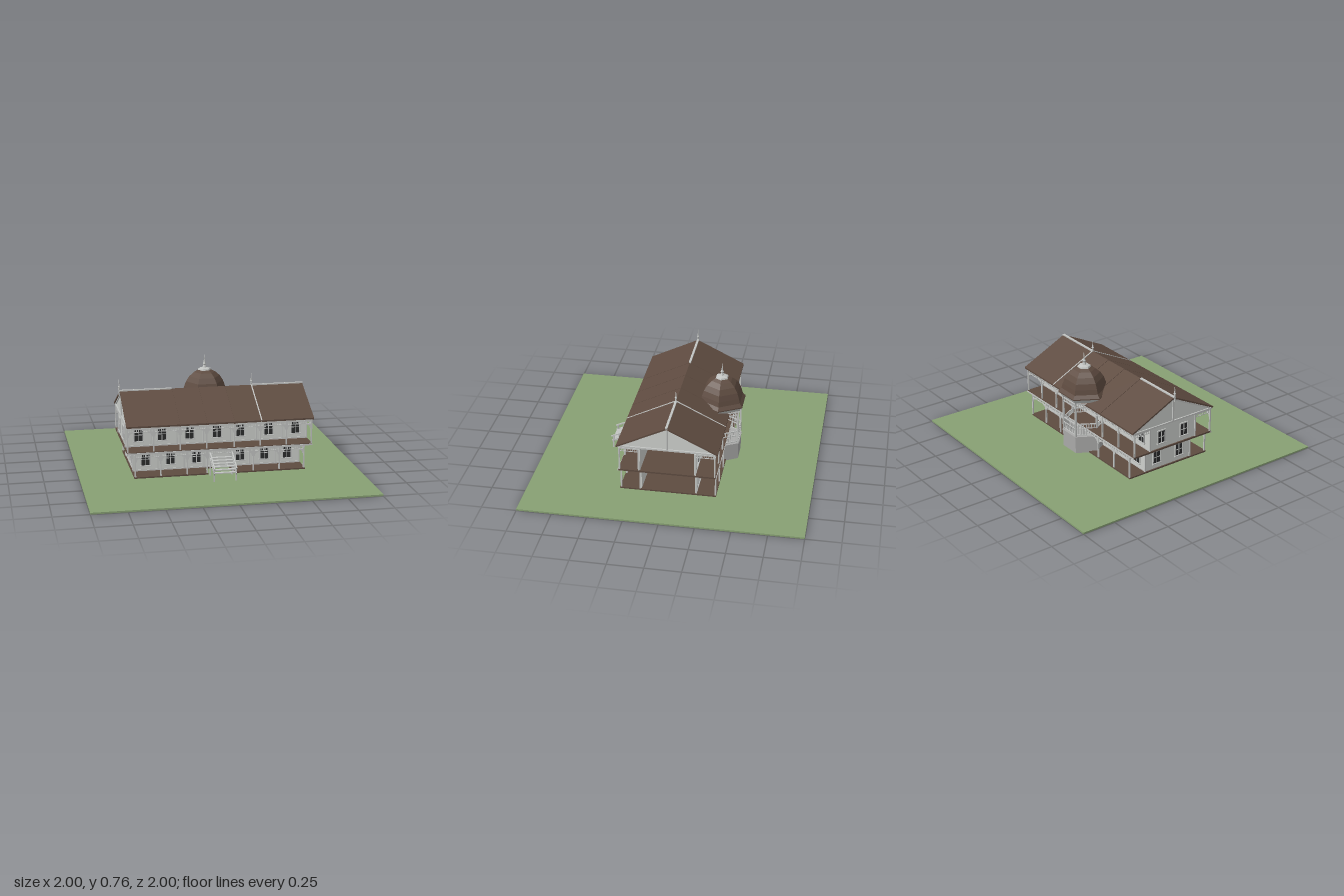
import * as THREE from 'three';
import { mergeGeometries } from 'three/addons/utils/BufferGeometryUtils.js';

const mat = (name, color) => {
  const m = new THREE.MeshStandardMaterial({ color });
  m.name = name;
  return m;
};

// box from min/max limits
function box(x0, x1, y0, y1, z0, z1) {
  return new THREE.BoxGeometry(x1 - x0, y1 - y0, z1 - z0)
    .translate((x0 + x1) / 2, (y0 + y1) / 2, (z0 + z1) / 2).toNonIndexed();
}

// square bar between two points
function bar(a, b, w, h = w) {
  const p = new THREE.Vector3(...a), q = new THREE.Vector3(...b);
  const g = new THREE.BoxGeometry(w, h, p.distanceTo(q));
  const o = new THREE.Object3D();
  o.position.copy(p).add(q).multiplyScalar(0.5);
  o.lookAt(q);
  o.updateMatrix();
  return g.applyMatrix4(o.matrix).toNonIndexed();
}

// six-sided faceted lathe with corners on the x axis
function hex(profile) {
  const pts = profile.map(([r, y]) => new THREE.Vector2(r, y));
  const g = new THREE.LatheGeometry(pts, 6, Math.PI / 6).toNonIndexed();
  g.computeVertexNormals();
  return g;
}

// prism with a (z, y) outline, between x0 and x1
function prism(points, x0, x1) {
  const s = new THREE.Shape(points.map(([z, y]) => new THREE.Vector2(-z, y)));
  return new THREE.ExtrudeGeometry(s, { depth: x1 - x0, bevelEnabled: false })
    .rotateY(Math.PI / 2).translate(x0, 0, 0);
}

// curved corner bracket under a beam, reaching along x by dir
function bracket(x, y, z, dir) {
  const r = 0.034, t = 0.007;
  const s = new THREE.Shape();
  s.moveTo(0, 0);
  s.lineTo(0, -r);
  s.lineTo(t, -r);
  s.quadraticCurveTo(t, -t, r, -t);
  s.lineTo(r, 0);
  const g = new THREE.ExtrudeGeometry(s, { depth: 0.006, bevelEnabled: false, curveSegments: 4 });
  if (dir < 0) g.rotateY(Math.PI);
  return g.translate(x, y, z - 0.003 * dir);
}

export function createModel() {
  const house = new THREE.Group();
  house.name = 'verandaHouse';
  const grass = mat('grass', 0x87a073);
  const wall = mat('wall', 0xcdd0cc);
  const trim = mat('trim', 0xc2c4c2);
  const roof = mat('roofBrown', 0x5e4b40);
  const glass = mat('darkGlass', 0x2b2c2d);
  const stone = mat('turretBase', 0xa9a9a8);

  const add = (name, material, geos) => {
    const m = new THREE.Mesh(mergeGeometries(geos), material);
    m.name = name;
    house.add(m);
    return m;
  };

  add('lawn', grass, [box(-1, 1, 0, 0.012, -1, 1)]);

  // floors, with a gap for the front steps
  add('lowerFloor', roof, [
    box(-0.62, 0.62, 0.014, 0.024, -0.34, 0.2),
    box(-0.62, -0.09, 0.014, 0.024, 0.2, 0.345), box(0.09, 0.62, 0.014, 0.024, 0.2, 0.345)]);
  add('upperFloor', roof, [box(-0.67, 0.67, 0.194, 0.206, -0.345, 0.345)]);
  add('ceiling', wall, [box(-0.66, 0.66, 0.378, 0.384, -0.34, 0.34)]);

  const storeys = [
    { name: 'lower', y0: 0.024, y1: 0.194, xe: 0.61, win: [-0.52, -0.34, -0.15, 0.17, 0.35, 0.52],
      posts: [-0.612, -0.43, -0.24, -0.095, 0.095, 0.24, 0.43, 0.612] },
    { name: 'upper', y0: 0.206, y1: 0.378, xe: 0.66, win: [-0.57, -0.4, -0.2, 0, 0.17, 0.38, 0.58],
      posts: [-0.665, -0.48, -0.29, -0.1, 0.1, 0.29, 0.48, 0.665] },
  ];

  for (const s of storeys) {
    const { y0, y1, xe } = s;
    // long walls, closed left end, recessed partition on the open end
    add(s.name + 'Walls', wall, [
      box(-xe, xe, y0, y1, 0.19, 0.2), box(-xe, xe, y0, y1, -0.2, -0.19),
      box(-xe, -xe + 0.01, y0, y1, -0.19, 0.19), box(0.3, 0.31, y0, y1, -0.19, 0.19)]);

    // windows on both long sides and the closed end
    const panes = [], frames = [];
    const wy = y0 + 0.042, wt = y0 + 0.132;
    const addWindow = (place) => {
      const put = (list, ...b) => list.push(place(box(...b)));
      put(panes, -0.029, 0.029, wy, wt, 0, 0.003);
      for (const d of [-1, 1]) put(frames, d * 0.033 - 0.004, d * 0.033 + 0.004, wy - 0.006, wt + 0.006, 0, 0.008);
      put(frames, -0.029, 0.029, wt, wt + 0.008, 0, 0.008);
      put(frames, -0.04, 0.04, wy - 0.008, wy, 0, 0.012);
      put(frames, -0.029, 0.029, (wy + wt) / 2 - 0.002, (wy + wt) / 2 + 0.002, 0, 0.006);
      put(frames, -0.002, 0.002, wy, wt, 0, 0.006);
    };
    for (const x of s.win) {
      addWindow((g) => g.translate(x, 0, 0.2));
      if (Math.abs(x) > 0.16) addWindow((g) => g.rotateY(Math.PI).translate(x, 0, -0.2));
    }
    for (const z of [-0.1, 0.1]) addWindow((g) => g.rotateY(-Math.PI / 2).translate(-xe, 0, z));
    add(s.name + 'WindowPanes', glass, panes);
    add(s.name + 'WindowFrames', trim, frames);

    // corner boards, panel strips and inner door frame
    const strips = [];
    for (const z of [-0.2, 0.2]) {
      for (const x of s.posts) strips.push(box(x - 0.004, x + 0.004, y0, y1, z - 0.005, z + 0.005));
      strips.push(box(-xe, xe, y0, y0 + 0.01, z - 0.004, z + 0.004));
    }
    for (const z of [-0.13, 0.05]) strips.push(box(0.31, 0.315, y0, y0 + 0.13, z - 0.004, z + 0.004));
    strips.push(box(0.31, 0.315, y0 + 0.13, y0 + 0.138, -0.134, 0.054));
    add(s.name + 'WallStrips', trim, strips);

    // verandas: posts, curved brackets, beams and spindle fringe
    const ver = [], br = [];
    for (const z of [-0.336, 0.336]) {
      for (const x of s.posts) {
        if (z < 0 && Math.abs(x) < 0.12) continue;
        ver.push(box(x - 0.005, x + 0.005, y0, y1, z - 0.005, z + 0.005));
        if (x < xe) br.push(bracket(x + 0.004, y1 - 0.028, z, 1));
        if (x > -xe) br.push(bracket(x - 0.004, y1 - 0.028, z, -1));
      }
      ver.push(box(-xe, xe, y1 - 0.009, y1, z - 0.005, z + 0.005));
      ver.push(box(-xe, xe, y1 - 0.029, y1 - 0.025, z - 0.003, z + 0.003));
      for (let x = -xe + 0.012; x < xe; x += 0.016)
        ver.push(box(x - 0.002, x + 0.002, y1 - 0.027, y1 - 0.008, z - 0.002, z + 0.002));
      // end fringe between wall and outer post
      for (const x of [-xe, xe]) {
        const [a, b] = z > 0 ? [0.2, z] : [z, -0.2];
        ver.push(box(x - 0.004, x + 0.004, y1 - 0.009, y1, a, b));
        ver.push(box(x - 0.002, x + 0.002, y1 - 0.029, y1 - 0.025, a, b));
        for (let c = a + 0.01; c < b; c += 0.016)
          ver.push(box(x - 0.002, x + 0.002, y1 - 0.027, y1 - 0.008, c - 0.002, c + 0.002));
      }
    }
    add(s.name + 'VerandaPosts', trim, ver);
    add(s.name + 'VerandaBrackets', trim, br);
  }

  // pale edges along the upper floor
  add('floorEdges', trim, [-1, 1].map((d) => box(-0.672, 0.672, 0.192, 0.202, d * 0.346 - 0.003, d * 0.346 + 0.003)));

  // roof in five bays
  const bays = [-0.675, -0.293, -0.098, 0.098, 0.295, 0.68];
  const outline = [[0.357, 0.386], [0.357, 0.398], [0, 0.572], [-0.357, 0.398], [-0.357, 0.386], [0, 0.56]];
  const panels = [];
  for (let i = 0; i < 5; i++) panels.push(prism(outline, bays[i] + 0.002, bays[i + 1] - 0.002));
  add('roofPanels', roof, panels);
  add('roofSeams', roof, bays.slice(1, 4).map((x) =>
    prism(outline.map(([z, y]) => [z, y - 0.003]), x - 0.004, x + 0.004)));
  add('ridgeCaps', trim, [box(-0.68, -0.295, 0.565, 0.577, -0.008, 0.008), box(0.295, 0.68, 0.565, 0.577, -0.008, 0.008)]);

  // gables with sloping boards
  const gable = [[0.335, 0.384], [0, 0.558], [-0.335, 0.384]];
  add('gables', wall, [prism(gable, -0.66, -0.652), prism(gable, 0.64, 0.648)]);
  const boards = [];
  for (const x of [-0.663, 0.655]) {
    for (const d of [-1, 1]) boards.push(bar([x, 0.386, d * 0.34], [x, 0.553, 0], 0.01));
    boards.push(box(x - 0.006, x + 0.006, 0.378, 0.39, -0.35, 0.35));
    boards.push(box(x - 0.005, x + 0.005, 0.385, 0.555, -0.006, 0.006));
  }
  for (const d of [-1, 1]) boards.push(bar([0.295, 0.396, d * 0.357], [0.295, 0.573, 0], 0.008));
  add('gableBoards', trim, boards);
  add('gableSpires', trim, [-0.677, 0.295].map((x) =>
    hex([[0.005, 0.54], [0.006, 0.595], [0.01, 0.6], [0.005, 0.61], [0, 0.665]]).translate(x, 0, 0)));

  // front steps with sloping handrails
  const treads = [], rails = [];
  for (let i = 0; i < 6; i++) {
    const z = 0.505 - i * 0.027, y = 0.07 + i * 0.014;
    treads.push(box(-0.075, 0.075, y, y + 0.007, z - 0.014, z + 0.012));
  }
  for (const x of [-0.079, 0.079]) {
    treads.push(bar([x, 0.066, 0.52], [x, 0.143, 0.355], 0.007, 0.014));
    rails.push(bar([x, 0.104, 0.525], [x, 0.178, 0.36], 0.009));
    rails.push(box(x - 0.005, x + 0.005, 0.012, 0.112, 0.505, 0.515));
    rails.push(box(x - 0.005, x + 0.005, 0.012, 0.178, 0.358, 0.368));
    for (const z of [0.4, 0.435, 0.47])
      rails.push(box(x - 0.003, x + 0.003, 0.066 + (0.52 - z) * 0.46, 0.104 + (0.525 - z) * 0.45, z - 0.003, z + 0.003));
  }
  add('frontSteps', trim, treads);
  add('stepRails', trim, rails);

  // six-sided turret at the back
  const tz = -0.285;
  const turret = (name, material, geos) => { add(name, material, geos).position.z = tz; };
  turret('turretBase', stone, [hex([[0.158, 0.012], [0.158, 0.135], [0.164, 0.135], [0.164, 0.143], [0, 0.143]])]);
  const frame = [];
  const corner = (i, r, y) => [r * Math.cos(i * Math.PI / 3), y, r * Math.sin(i * Math.PI / 3)];
  for (let i = 0; i < 6; i++) {
    const a = corner(i, 0.152, 0), b = corner(i + 1, 0.152, 0);
    frame.push(box(a[0] - 0.006, a[0] + 0.006, 0.14, 0.42, a[2] - 0.006, a[2] + 0.006));
    for (const y of [0.155, 0.205, 0.24, 0.375, 0.4])
      frame.push(bar([a[0], y, a[2]], [b[0], y, b[2]], 0.007));
    for (let k = 1; k < 8; k++) {
      const x = a[0] + (b[0] - a[0]) * k / 8, z = a[2] + (b[2] - a[2]) * k / 8;
      frame.push(box(x - 0.0025, x + 0.0025, 0.155, 0.24, z - 0.0025, z + 0.0025));
      frame.push(box(x - 0.002, x + 0.002, 0.375, 0.4, z - 0.002, z + 0.002));
    }
  }
  turret('turretFrame', trim, frame);
  turret('turretCornice', trim, [hex([[0, 0.412], [0.16, 0.412], [0.172, 0.43], [0.182, 0.445], [0, 0.445]])]);
  turret('turretDome', roof, [hex([[0, 0.443], [0.186, 0.443], [0.186, 0.451], [0.165, 0.475], [0.155, 0.51],
    [0.14, 0.55], [0.115, 0.588], [0.08, 0.618], [0.045, 0.636], [0, 0.64]])]);
  turret('turretSpire', trim, [hex([[0.05, 0.634], [0.045, 0.645], [0.016, 0.652], [0.009, 0.67],
    [0.013, 0.68], [0.006, 0.695], [0, 0.757]])]);

  return house;
}
